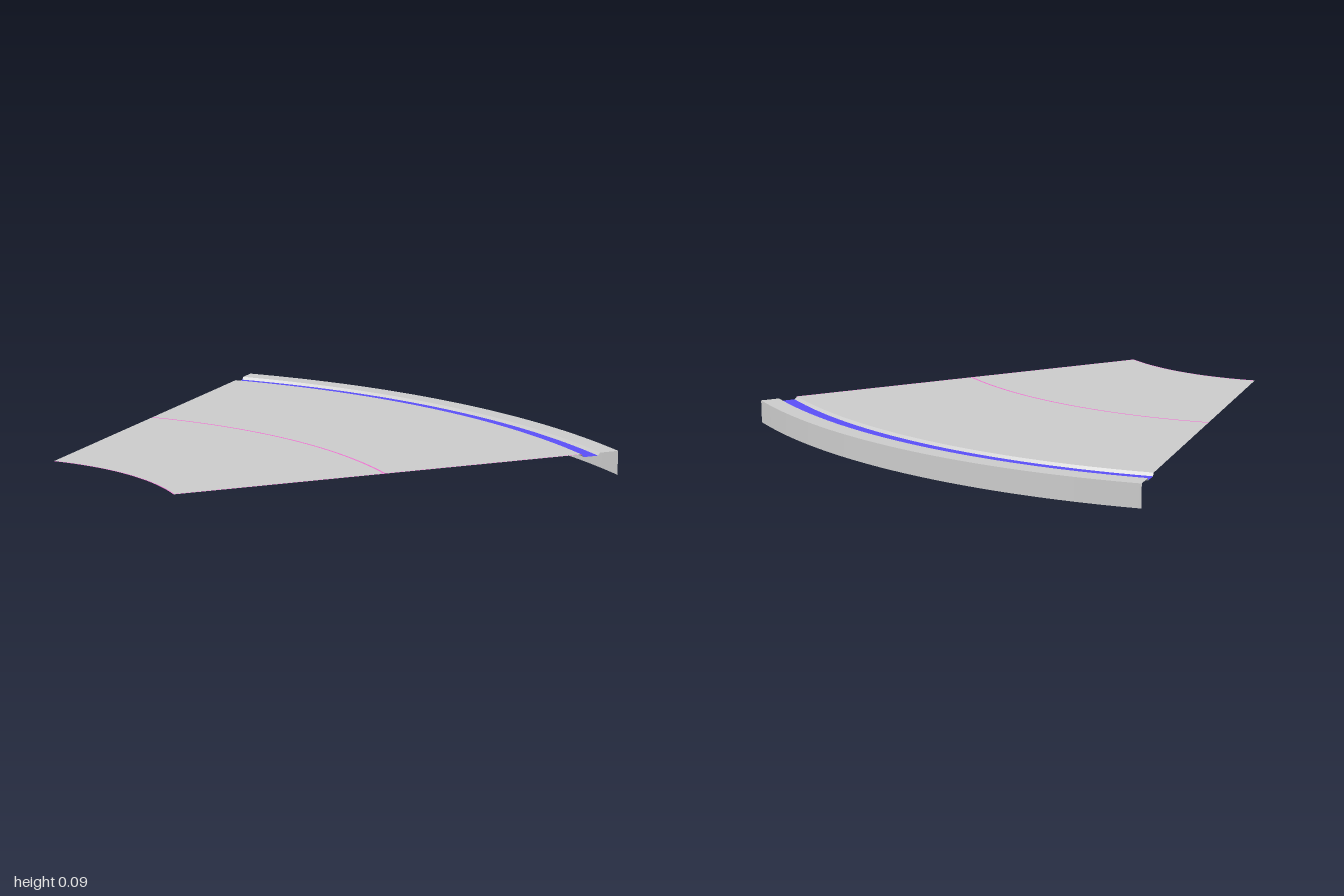
import * as THREE from 'three';

// Arc centre of the 45 degree sector, and its main levels
const CX = -1.61, CZ = 0.92;
const TOP = 0.092, GROOVE = 0.081;
const R_IN = 0.865, R_OUT = 2.61;

const material = (color) => new THREE.MeshStandardMaterial({ color, side: THREE.DoubleSide });

// Sweeps a profile of [radius, height] points round the sector
function sweep(name, profile, mat) {
  const points = profile.map(([r, y]) => new THREE.Vector2(r, y));
  const geometry = new THREE.LatheGeometry(points, 64, Math.PI / 2, Math.PI / 4);
  const mesh = new THREE.Mesh(geometry, mat);
  mesh.name = name;
  mesh.position.set(CX, 0, CZ);
  return mesh;
}

export function createModel() {
  const group = new THREE.Group();
  group.name = 'curvedPlatform';
  const grey = material(0xcccccc);
  const blue = material(0x5b4ff8);
  const pink = material(0xf16ed2);

  // Thin sheets, listed from the rim inwards so their tops face up
  const parts = [
    ['outerWall', [[R_OUT, 0], [R_OUT, TOP]], grey],
    ['rim', [[R_OUT, TOP], [2.533, TOP]], grey],
    ['grooveOuterSide', [[2.533, TOP], [2.525, GROOVE]], grey],
    ['grooveFloor', [[2.525, GROOVE], [2.465, GROOVE]], blue],
    ['grooveInnerSide', [[2.465, GROOVE], [2.455, TOP]], grey],
    ['outerDeck', [[2.455, TOP], [1.664, TOP]], grey],
    ['middleLine', [[1.664, TOP], [1.656, TOP]], pink],
    ['innerDeck', [[1.656, TOP], [R_IN + 0.004, TOP]], grey],
    ['innerEdgeLine', [[R_IN + 0.004, TOP], [R_IN, TOP]], pink],
  ];
  for (const [name, profile, mat] of parts) group.add(sweep(name, profile, mat));

  // Hairline along the straight front edge of the deck
  const length = 2.455 - R_IN;
  const edge = new THREE.Mesh(new THREE.PlaneGeometry(length, 0.003), pink);
  edge.name = 'frontEdgeLine';
  edge.rotation.x = -Math.PI / 2;
  edge.position.set(CX + R_IN + length / 2, TOP + 0.0005, CZ - 0.0015);
  group.add(edge);

  return group;
}
